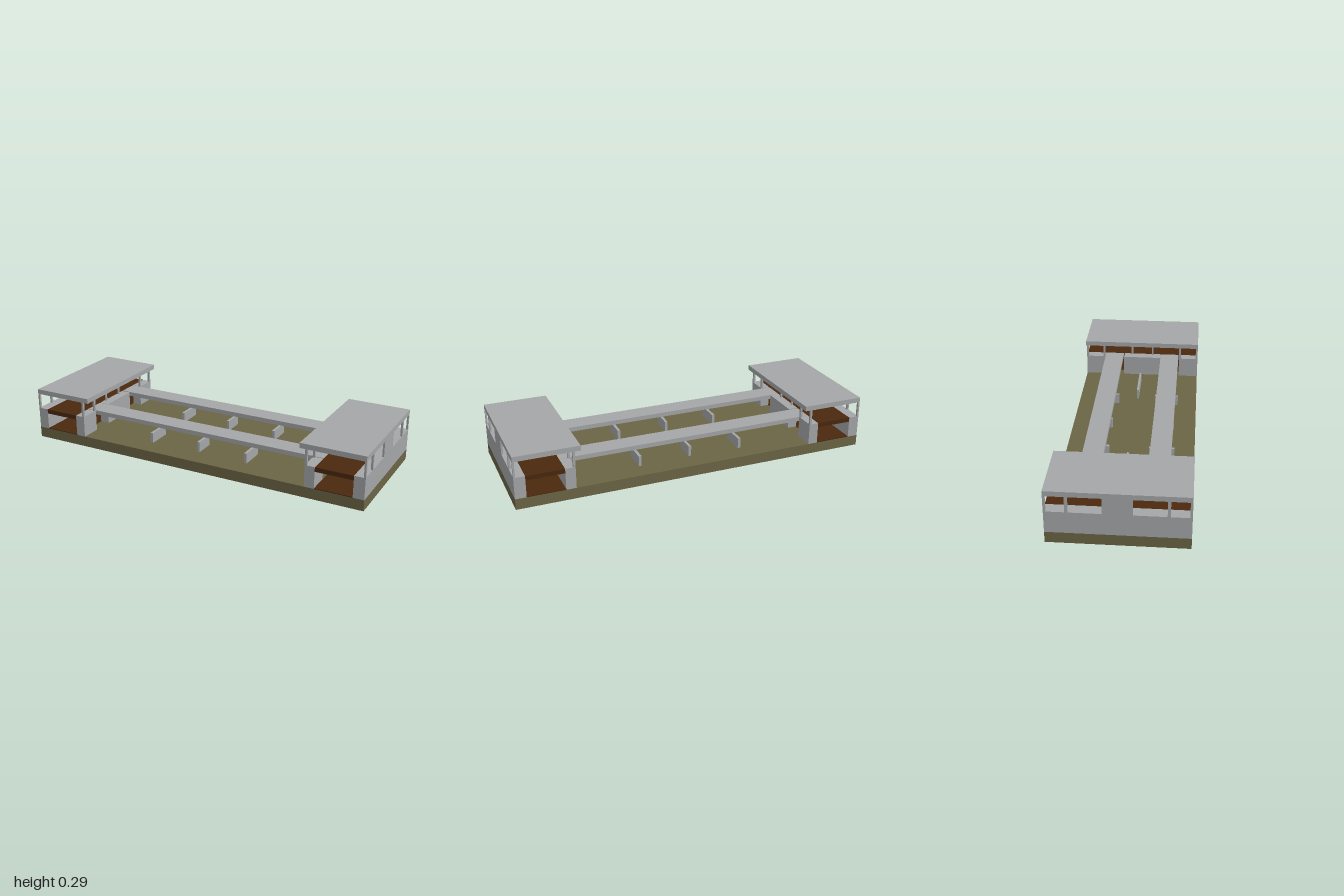
import * as THREE from 'three';

export function createModel() {
  const concrete = new THREE.MeshStandardMaterial({ color: 0xa4a6a8 });
  concrete.name = 'concrete grey';
  const earth = new THREE.MeshStandardMaterial({ color: 0x6b6545 });
  earth.name = 'earth olive';
  const timber = new THREE.MeshStandardMaterial({ color: 0x4b280e });
  timber.name = 'timber brown';

  // Box given by its min and max on each axis
  function box(parent, name, mat, [x0, x1], [y0, y1], [z0, z1]) {
    const mesh = new THREE.Mesh(new THREE.BoxGeometry(x1 - x0, y1 - y0, z1 - z0), mat);
    mesh.position.set((x0 + x1) / 2, (y0 + y1) / 2, (z0 + z1) / 2);
    mesh.name = name;
    parent.add(mesh);
  }
  const mirror = (s, a, b) => (s > 0 ? [a, b] : [-b, -a]);

  const D = 0.352, GROUND = 0.06, FLOOR = 0.18, UNDER = 0.155, ROOF = 0.267;
  const model = new THREE.Group();
  model.name = 'twinPavilions';
  box(model, 'groundSlab', earth, [-1, 1], [0, GROUND], [-D, D]);

  // Two end pavilions
  for (const sx of [-1, 1]) {
    const p = new THREE.Group();
    p.name = sx > 0 ? 'leftPavilion' : 'rightPavilion';
    model.add(p);
    const X = (a, b) => mirror(sx, a, b);

    box(p, 'roof', concrete, X(0.648, 1), [ROOF, 0.295], [-D, D]);
    box(p, 'outerWall', concrete, X(0.94, 1), [GROUND, FLOOR], [-D, D]);
    box(p, 'outerWallCentre', concrete, X(0.99, 1), [FLOOR, ROOF], [-0.073, 0.073]);
    box(p, 'upperDeck', timber, X(0.735, 0.94), [UNDER, FLOOR], [-D, D]);
    box(p, 'lowerFloor', timber, X(0.735, 0.94), [GROUND, GROUND + 0.004], [-D, D]);
    box(p, 'cabinet', timber, X(0.885, 0.94), [GROUND, UNDER], [-0.115, 0.115]);
    box(p, 'innerWallCentre', concrete, X(0.68, 0.735), [GROUND, FLOOR], [-0.115, 0.115]);

    for (const sz of [-1, 1]) {
      const Z = (a, b) => mirror(sz, a, b);
      box(p, 'innerPier', concrete, X(0.68, 0.735), [GROUND, FLOOR], Z(0.235, D));
      // Window mullions and inner posts
      box(p, 'cornerPost', concrete, X(0.99, 1), [FLOOR, ROOF], Z(0.34, D));
      box(p, 'windowMullion', concrete, X(0.99, 1), [FLOOR, ROOF], Z(0.235, 0.25));
      box(p, 'innerCornerPost', concrete, X(0.68, 0.692), [FLOOR, ROOF], Z(0.34, D));
      box(p, 'innerPost', concrete, X(0.68, 0.692), [FLOOR, ROOF], Z(0.235, 0.247));
      for (const x of [0.722, 0.87]) {
        box(p, 'deckPost', concrete, X(x, x + 0.01), [FLOOR, ROOF], Z(0.06, 0.07));
      }
    }

    // Low wall standing in the courtyard
    box(model, 'courtyardWall', concrete, X(0.355, 0.585), [GROUND, 0.118], [-0.009, 0.003]);
  }

  // Raised walkways with cross walls beneath them
  for (const [z0, z1] of [[0.117, 0.23], [-0.234, -0.122]]) {
    box(model, 'walkway', concrete, [-0.735, 0.735], [UNDER, FLOOR], [z0, z1]);
    for (const x of [-0.295, 0, 0.295]) {
      const over = x === 0 ? 0 : 0.012;
      box(model, 'crossWall', concrete, [x - 0.008, x + 0.008], [GROUND, 0.118], [z0 - over, z1 + over]);
    }
  }
  return model;
}
